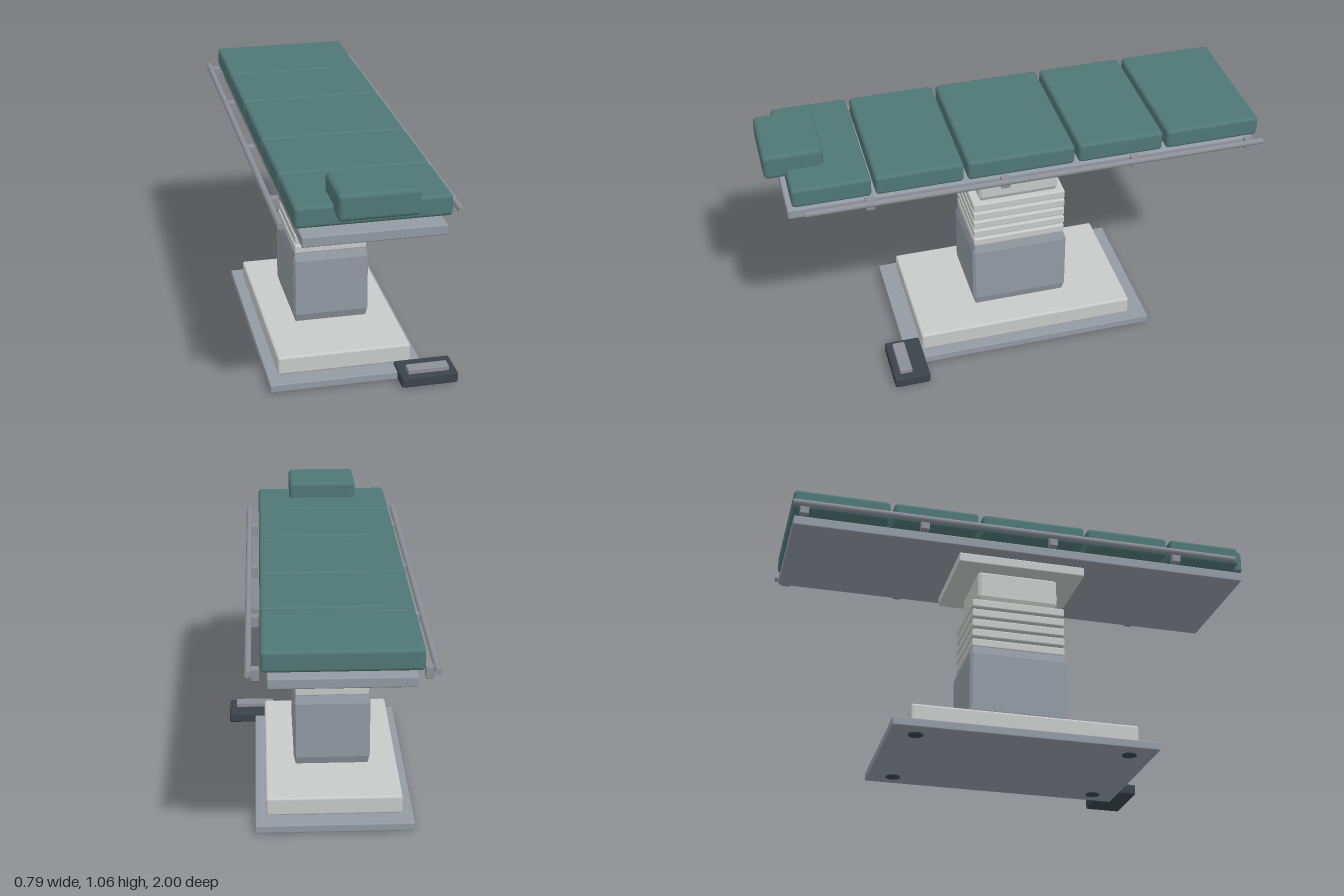
import * as THREE from 'three';
import { RoundedBoxGeometry } from 'three/addons/geometries/RoundedBoxGeometry.js';
import { ConvexGeometry } from 'three/addons/geometries/ConvexGeometry.js';

const mat = (name, color, flat = false) => {
  const m = new THREE.MeshStandardMaterial({ color, flatShading: flat });
  m.name = name;
  return m;
};

export function createModel() {
  const model = new THREE.Group();
  model.name = 'operatingTable';
  const teal = mat('tealVinyl', 0x4f7775);
  const pale = mat('paleEnamel', 0xc7cac8);
  const grey = mat('blueGreyMetal', 0x939aa3);
  const steel = mat('railSteel', 0x8c9096);
  const dark = mat('darkPlastic', 0x3b4449);

  const add = (name, geo, material, x = 0, y = 0, z = 0) => {
    const mesh = new THREE.Mesh(geo, material);
    mesh.name = name;
    mesh.position.set(x, y, z);
    model.add(mesh);
    return mesh;
  };
  // Rounded block given by its [min, max] range along each axis
  const block = (name, material, [x0, x1], [y0, y1], [z0, z1], r = 0.008, seg = 2) =>
    add(name, new RoundedBoxGeometry(x1 - x0, y1 - y0, z1 - z0, seg, r), material,
      (x0 + x1) / 2, (y0 + y1) / 2, (z0 + z1) / 2);
  // Block with a single flat chamfer of its own depth on each axis
  const chamfered = (name, material, [x0, x1], [y0, y1], [z0, z1], [bx, by, bz]) => {
    const hx = (x1 - x0) / 2, hy = (y1 - y0) / 2, hz = (z1 - z0) / 2, pts = [];
    for (const i of [-1, 1]) for (const j of [-1, 1]) for (const k of [-1, 1]) {
      pts.push(new THREE.Vector3(i * hx, j * (hy - by), k * (hz - bz)),
        new THREE.Vector3(i * (hx - bx), j * hy, k * (hz - bz)),
        new THREE.Vector3(i * (hx - bx), j * (hy - by), k * hz));
    }
    add(name, new ConvexGeometry(pts), material, (x0 + x1) / 2, (y0 + y1) / 2, (z0 + z1) / 2);
  };

  // Base and floor feet
  block('basePlate', grey, [-0.37, 0.275], [0.003, 0.038], [-0.565, 0.51], 0.005);
  block('baseCover', pale, [-0.326, 0.231], [0.038, 0.118], [-0.487, 0.437], 0.01);
  for (const x of [-0.29, 0.195]) for (const z of [-0.46, 0.405]) {
    add('floorFoot', new THREE.CylinderGeometry(0.03, 0.03, 0.02, 16), dark, x, 0.01, z);
  }

  // Column, bellows and head
  chamfered('columnCover', grey, [-0.209, 0.111], [0.134, 0.45], [-0.23, 0.18], [0.009, 0.035, 0.012]);
  for (let i = 0; i < 5; i++) {
    const y = 0.45 + i * 0.0452;
    block('bellowsRing', pale, [-0.201, 0.103], [y, y + 0.036], [-0.222, 0.172], 0.006);
  }
  chamfered('columnHead', pale, [-0.188, 0.091], [0.671, 0.815], [-0.195, 0.145], [0.01, 0.02, 0.012]);
  block('headPlate', pale, [-0.262, 0.167], [0.8, 0.842], [-0.293, 0.245], 0.006);

  // Control panel with three knobs
  block('controlPanel', dark, [-0.13, 0.031], [0.717, 0.8], [0.135, 0.155], 0.003, 1);
  [-0.097, -0.049, 0].forEach((x, i) => {
    const knob = add('controlKnob', new THREE.CylinderGeometry(0.014, 0.014, 0.016, 10),
      i === 1 ? dark : pale, x, 0.758, 0.16);
    knob.rotation.x = Math.PI / 2;
  });

  // Table top frame
  block('tableFrame', grey, [-0.318, 0.22], [0.841, 0.883], [-0.987, 0.935], 0.006);

  // Mattress sections and head pillow
  const sections = [[0.606, 0.917], [0.239, 0.591], [-0.214, 0.224], [-0.583, -0.23], [-0.993, -0.599]];
  for (const range of sections) {
    block('mattressSection', teal, [-0.34, 0.243], [0.906, 0.99], range, 0.015, 3);
  }
  block('headPillow', teal, [-0.199, 0.101], [0.955, 1.06], [0.764, 1], 0.018, 3);

  // Side rails and their brackets
  for (const side of [-1, 1]) {
    const rail = add('sideRail', new THREE.CylinderGeometry(0.0125, 0.0125, 1.876, 12), steel,
      -0.048 + side * 0.335, 0.905, -0.06);
    rail.rotation.x = Math.PI / 2;
    const x = -0.048 + side * 0.31;
    for (const z of [0.62, 0.08, -0.46, -0.95]) {
      block('railBracket', steel, [x - 0.015, x + 0.015], [0.866, 0.911], [z - 0.018, z + 0.018], 0.003, 1);
    }
  }

  // Foot control
  block('footControl', dark, [0.157, 0.393], [0.004, 0.05], [0.438, 0.588], 0.008);
  block('footPedal', steel, [0.19, 0.362], [0.046, 0.069], [0.508, 0.56], 0.004, 1);

  return model;
}
